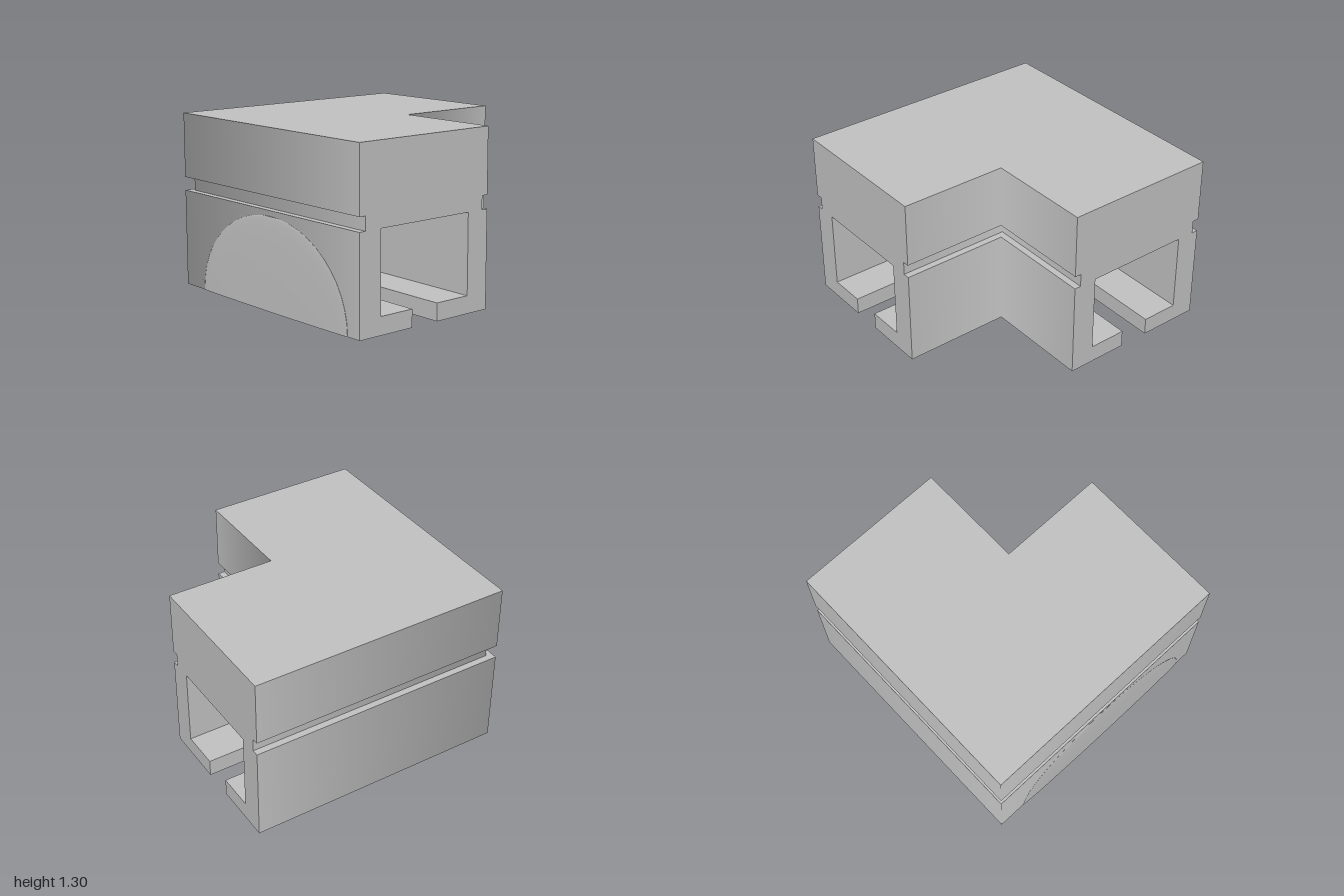
import * as THREE from 'three';

const LEFT = -0.995, FRONT = 0.985, ARM_X = 0.99, ARM_Z = -1, W = 1.17;

// Rail cross-section: [distance in from the outer wall, height], clockwise
const profile = [
  [0, 0], [0, 0.72], [0.05, 0.72], [0.05, 0.82], [0, 0.82], [0, 1.3],
  [W, 1.3], [W, 0.82], [W - 0.05, 0.82], [W - 0.05, 0.72], [W, 0.72], [W, 0],
  // slot and hollow channel
  [0.695, 0], [0.695, 0.13], [0.985, 0.13], [0.985, 0.72],
  [0.185, 0.72], [0.185, 0.13], [0.465, 0.13], [0.465, 0],
];
const OUTSIDE_EDGES = 11;

// Sweep the section round the mitred corner; outside walls shade softly across the mitre
function sweepCorner() {
  const pos = [], nor = [];
  profile.forEach((a, i) => {
    const b = profile[(i + 1) % profile.length];
    const n = new THREE.Vector2(a[1] - b[1], b[0] - a[0]).normalize();
    const n1 = new THREE.Vector3(n.x, n.y, 0);
    const n2 = new THREE.Vector3(0, n.y, -n.x);
    const mid = n1.clone().add(n2).normalize();
    const soft = i < OUTSIDE_EDGES;
    const rings = ([d, y]) => [
      [LEFT + d, y, ARM_Z], [LEFT + d, y, FRONT - d], [ARM_X, y, FRONT - d],
    ];
    const A = rings(a), B = rings(b);
    for (let s = 0; s < 2; s++) {
      const flat = s === 0 ? n1 : n2;
      const start = soft && s === 1 ? mid : flat;
      const end = soft && s === 0 ? mid : flat;
      const corners = [[A[s], start], [A[s + 1], end], [B[s + 1], end], [B[s], start]];
      for (const k of [0, 1, 2, 0, 2, 3]) {
        pos.push(...corners[k][0]);
        nor.push(...corners[k][1].toArray());
      }
    }
  });
  const g = new THREE.BufferGeometry();
  g.setAttribute('position', new THREE.Float32BufferAttribute(pos, 3));
  g.setAttribute('normal', new THREE.Float32BufferAttribute(nor, 3));
  return g;
}

// Flat end face with the section's outline
function endCap(sign) {
  const shape = new THREE.Shape(profile.map(([d, y]) => new THREE.Vector2(sign * d, y)));
  return new THREE.ShapeGeometry(shape);
}

export function createModel() {
  const grey = new THREE.MeshStandardMaterial({ color: 0xc0c0c0 });
  grey.name = 'light grey';
  grey.side = THREE.DoubleSide;

  const model = new THREE.Group();
  model.name = 'cornerRail';
  const add = (name, geometry) => {
    const mesh = new THREE.Mesh(geometry, grey);
    mesh.name = name;
    model.add(mesh);
    return mesh;
  };

  add('cornerBody', sweepCorner());

  const sideEnd = add('sideArmEnd', endCap(1));
  sideEnd.rotation.y = Math.PI / 2;
  sideEnd.position.set(ARM_X, 0, FRONT);

  const backEnd = add('backArmEnd', endCap(-1));
  backEnd.rotation.y = Math.PI;
  backEnd.position.set(LEFT, 0, ARM_Z);

  // Very shallow swelling low on the front wall
  const swell = new THREE.SphereGeometry(1, 32, 12, 0, Math.PI, 0, Math.PI / 2);
  swell.scale(0.82, 0.68, 0.015);
  add('frontSwelling', swell).position.set(0.05, 0, FRONT);

  return model;
}
